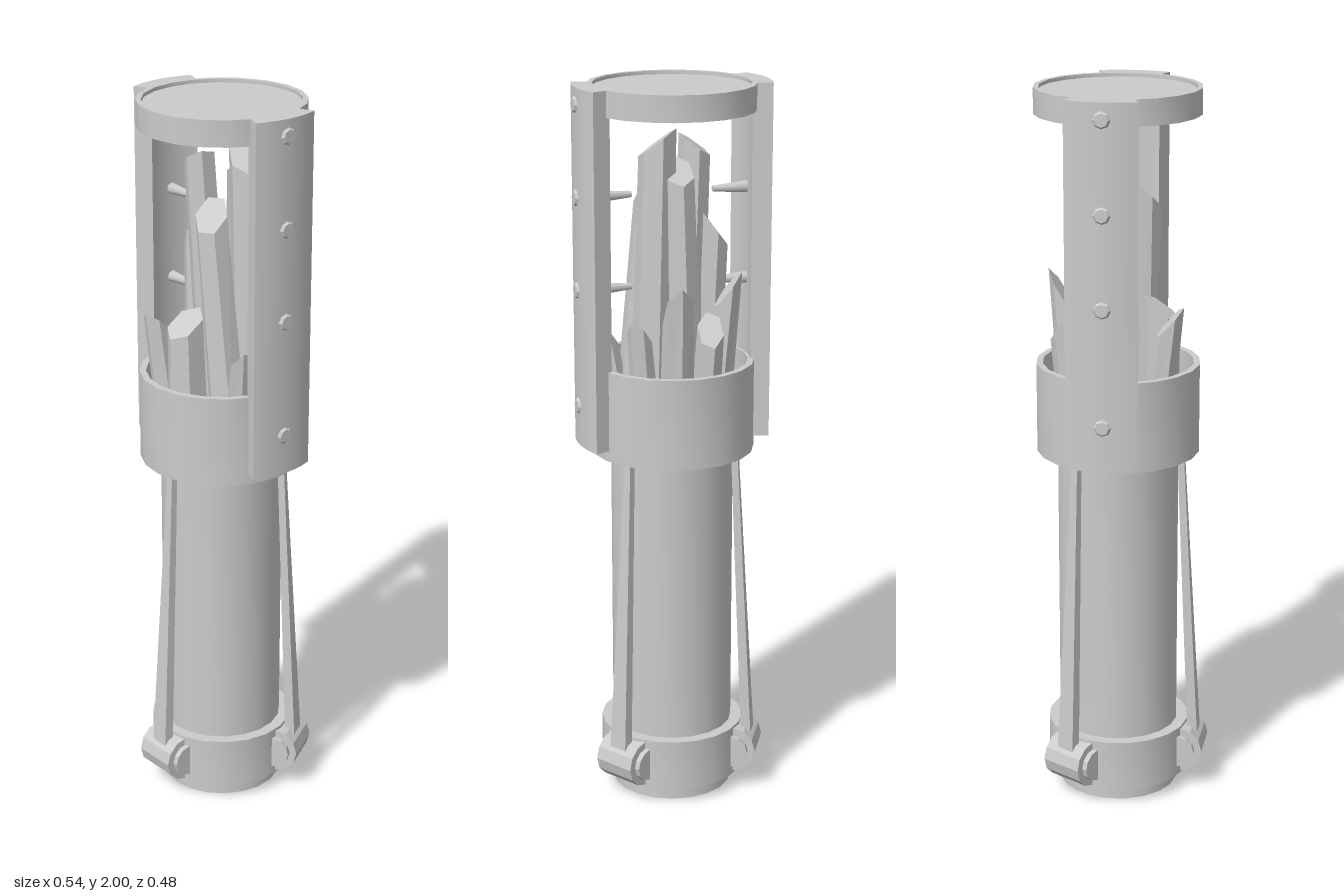
import * as THREE from 'three';
import { toCreasedNormals } from 'three/addons/utils/BufferGeometryUtils.js';

const CZ = -0.013; // main axis sits slightly behind the centre
const SIDES = 20;
const smooth = new THREE.MeshStandardMaterial({ color: 0xcccccc });
const faceted = new THREE.MeshStandardMaterial({ color: 0xcccccc, flatShading: true });

function add(parent, name, geometry, material = smooth) {
  const mesh = new THREE.Mesh(geometry, material);
  mesh.name = name;
  parent.add(mesh);
  return mesh;
}

// Turned part from [radius, y] pairs, listed from the bottom up the outside
function turned(points) {
  const profile = points.map(([r, y]) => new THREE.Vector2(r, y));
  return toCreasedNormals(new THREE.LatheGeometry(profile, SIDES), 0.6);
}

// Curved side plate, facing +x
function plateGeometry() {
  const a = 0.375;
  const shape = new THREE.Shape();
  shape.absarc(0, 0, 0.266, -a, a, false);
  shape.absarc(0, 0, 0.212, a, -a, true);
  shape.closePath();
  const g = new THREE.ExtrudeGeometry(shape, { depth: 0.97, bevelEnabled: false, curveSegments: 6 });
  g.rotateX(-Math.PI / 2);
  return toCreasedNormals(g.translate(0, 1.03, 0), 0.5);
}

// Leaning prism with a slanted chisel tip; the tip rises towards angle `dir`
function crystalGeometry(r, height, slant, dir, base, lean) {
  const g = new THREE.CylinderGeometry(r * 0.85, r, height, 6);
  g.translate(0, height / 2, 0);
  const p = g.attributes.position;
  for (let i = 0; i < p.count; i++) {
    const x = p.getX(i), y = p.getY(i), z = p.getZ(i);
    const t = y / height;
    const along = (x * Math.cos(dir) + z * Math.sin(dir)) / r;
    p.setXYZ(i, x + base[0] + lean[0] * t, 1.03 + y + t * slant * (along - 0.85), z + base[1] + lean[1] * t);
  }
  g.computeVertexNormals();
  return g;
}

export function createModel() {
  const root = new THREE.Group();
  const model = new THREE.Group();
  model.name = 'crystalHandle';
  model.position.z = CZ;
  root.add(model);

  // Handle, base ring, cup and cap
  add(model, 'handle', turned([[0, 0], [0.168, 0], [0.168, 1.01], [0, 1.01]]));
  add(model, 'baseRing', turned([[0.165, 0.045], [0.2, 0.045], [0.2, 0.19], [0.165, 0.19]]));
  add(model, 'cup', turned([[0, 1], [0.225, 1], [0.225, 1.25], [0.207, 1.25], [0.207, 1.03], [0, 1.03]]));
  add(model, 'cap', turned([[0, 1.93], [0.225, 1.93], [0.225, 2], [0.211, 2], [0.211, 1.99], [0, 1.99]]));

  // Side plates with bolts and inner pins
  for (const side of [1, -1]) {
    const plate = new THREE.Group();
    plate.name = side > 0 ? 'leftPlate' : 'rightPlate';
    plate.rotation.y = side > 0 ? 0 : Math.PI;
    model.add(plate);
    add(plate, 'plate', plateGeometry());
    for (const y of [1.14, 1.46, 1.71, 1.955]) {
      const bolt = add(plate, 'bolt', new THREE.CylinderGeometry(0.018, 0.028, 0.012, 8), faceted);
      bolt.rotation.z = -Math.PI / 2;
      bolt.position.set(0.266, y, side * 0.005);
    }
    for (const y of [1.46, 1.71]) {
      const pin = add(plate, 'pin', new THREE.CylinderGeometry(0.017, 0.008, 0.1, 8));
      pin.rotation.z = -Math.PI / 2;
      pin.position.set(0.165, y, 0);
    }
  }

  // Three clamps with tapering straps running up to the cup
  for (let i = 0; i < 3; i++) {
    const arm = new THREE.Group();
    arm.name = 'clampArm';
    arm.rotation.y = (i * Math.PI * 2) / 3;
    model.add(arm);
    for (const [name, r, length] of [['clampDrum', 0.066, 0.125], ['clampAxle', 0.046, 0.155]]) {
      const drum = add(arm, name, new THREE.CylinderGeometry(r, r, length, 12), faceted);
      drum.rotation.z = Math.PI / 2;
      drum.position.set(0, 0.118, 0.185);
    }
    const g = new THREE.BoxGeometry(1, 1, 1);
    const p = g.attributes.position;
    for (let k = 0; k < p.count; k++) {
      const top = p.getY(k) > 0;
      p.setXYZ(k, p.getX(k) * (top ? 0.02 : 0.056), top ? 1.01 : 0.14,
        (top ? 0.175 : 0.22) + p.getZ(k) * (top ? 0.018 : 0.028));
    }
    g.computeVertexNormals();
    add(arm, 'strap', g, faceted);
  }

  // Crystal cluster: radius, height, slant, tip direction, base [x, z], lean [x, z]
  const crystals = [
    [0.05, 0.83, 0.035, 0.3, [-0.03, -0.01], [-0.04, 0.03]],
    [0.06, 0.86, 0.045, 3.6, [0.08, -0.05], [-0.025, 0.01]],
    [0.052, 0.72, 0.05, 4.2, [0.1, 0.05], [-0.06, 0.02]],
    [0.05, 0.78, 0.04, 1.6, [-0.01, -0.08], [0.015, 0.015]],
    [0.045, 0.63, 0.06, 0.2, [-0.09, 0], [-0.025, -0.01]],
    [0.06, 0.41, 0.04, 4.7, [-0.01, 0.11], [0, 0.01]],
    [0.045, 0.4, 0.05, 1.4, [-0.07, 0.11], [-0.015, 0.045]],
    [0.045, 0.47, 0.06, 3.4, [-0.1, -0.05], [-0.035, -0.02]],
    [0.04, 0.34, 0.05, 0.2, [0.12, 0.05], [0.045, 0.02]],
    [0.048, 0.46, 0.08, 4.7, [0.03, -0.12], [0.01, -0.04]],
    [0.042, 0.37, 0.05, 1.8, [-0.05, -0.11], [-0.01, -0.03]],
    [0.04, 0.36, 0.05, 5.5, [0.1, -0.09], [0.03, -0.02]],
  ];
  for (const c of crystals) add(model, 'crystal', crystalGeometry(...c), faceted);

  return root;
}
